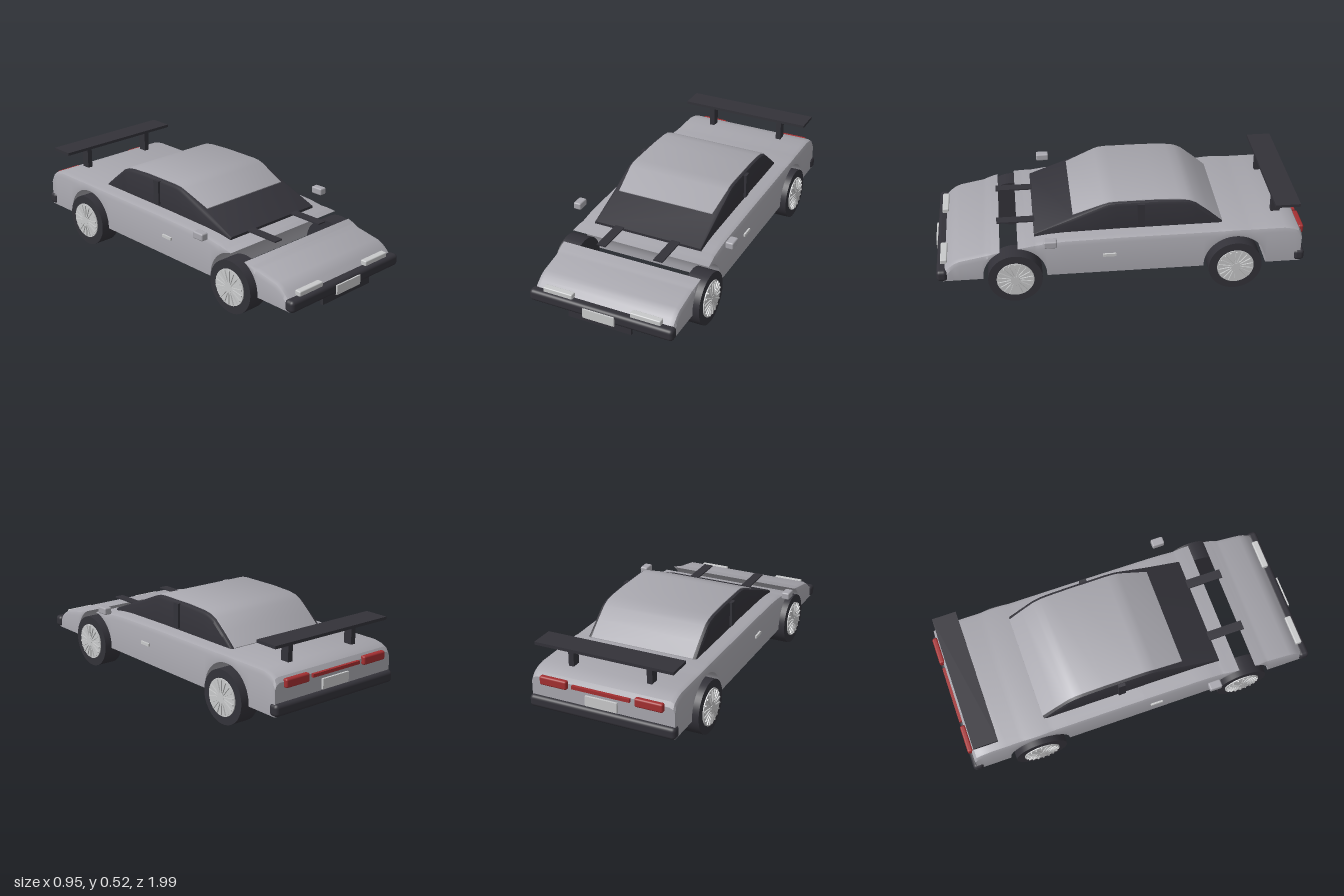
import * as THREE from 'three';
import { toCreasedNormals } from 'three/addons/utils/BufferGeometryUtils.js';
import { RoundedBoxGeometry } from 'three/addons/geometries/RoundedBoxGeometry.js';

const mat = (name, color) => Object.assign(new THREE.MeshStandardMaterial({ color }), { name });

// Height of a profile of [z, y] points (z descending) at z
function heightAt(profile, z) {
  for (let i = 0; i < profile.length - 1; i++) {
    const [z0, y0] = profile[i], [z1, y1] = profile[i + 1];
    if (z <= z0 && z >= z1) return y0 + (y1 - y0) * (z0 - z) / (z0 - z1);
  }
  return z > profile[0][0] ? profile[0][1] : profile[profile.length - 1][1];
}

// Solid from cross-sections { z, top, bottom, w } with rounded upper edges
function loft(sections, round) {
  const pos = [], index = [], n = 8;
  const list = [...sections].sort((a, b) => a.z - b.z);
  for (const { z, top, bottom, w } of list) {
    const c = Math.min(round, (top - bottom) * 0.5);
    const half = [[w, bottom], [w, top - c], [w - c * 0.3, top - c * 0.3], [w - c, top]];
    for (const [x, y] of half) pos.push(x, y, z);
    for (const [x, y] of half.reverse()) pos.push(-x, y, z);
  }
  for (let i = 0; i < list.length - 1; i++) {
    for (let j = 0; j < n; j++) {
      const a = i * n + j, b = i * n + (j + 1) % n;
      index.push(a, b, b + n, a, b + n, a + n);
    }
  }
  const last = (list.length - 1) * n;
  for (let j = 1; j < n - 1; j++) {
    index.push(0, j + 1, j, last, last + j, last + j + 1);
  }
  const g = new THREE.BufferGeometry();
  g.setAttribute('position', new THREE.Float32BufferAttribute(pos, 3));
  g.setIndex(index);
  return toCreasedNormals(g, 0.5);
}

export function createModel() {
  const car = new THREE.Group();
  const paint = mat('silver paint', 0xa8a7ae);
  const dark = mat('dark trim', 0x333239);
  const light = mat('pale metal', 0xc8c9ca);
  const red = mat('red lens', 0xa32f31);

  const add = (name, geometry, material, x = 0, y = 0, z = 0, parent = car) => {
    const m = new THREE.Mesh(geometry, material);
    m.name = name;
    m.position.set(x, y, z);
    parent.add(m);
    return m;
  };
  const box = (name, material, w, h, d, x, y, z) =>
    add(name, new THREE.BoxGeometry(w, h, d), material, x, y, z);
  const rounded = (name, material, w, h, d, r, x, y, z) =>
    add(name, new RoundedBoxGeometry(w, h, d, 3, r), material, x, y, z);

  // Body: nose and main shell, parted by the full-width front wheel arch
  const floor = 0.14, archR = 0.17, archY = 0.15, frontZ = 0.57, rearZ = -0.615;
  const deck = [[0.955, 0.19], [0.94, 0.205], [0.915, 0.23], [0.89, 0.249], [0.86, 0.262], [0.645, 0.303],
    [0.55, 0.319], [0.46, 0.336], [0.38, 0.347], [0.3, 0.352], [0, 0.357], [-0.88, 0.36], [-0.93, 0.35],
    [-0.96, 0.335], [-0.975, 0.31]];
  const bottomAt = z => {
    let y = floor;
    for (const c of [frontZ, rearZ]) {
      const d = archR * archR - (z - c) ** 2;
      if (d > 1e-7) y = Math.max(y, archY + Math.sqrt(d));
    }
    return y;
  };
  const archStations = c => Array.from({ length: 31 }, (_, i) => c + archR * Math.cos(Math.PI * i / 30));
  const stations = [...deck.map(p => p[0]), ...archStations(frontZ), ...archStations(rearZ),
    frontZ + archR + 0.001, frontZ - archR - 0.001, rearZ + archR + 0.001, rearZ - archR - 0.001];
  const shell = (from, to) => loft(stations.filter(z => z <= from && z >= to).map(z => ({
    z, top: Math.max(heightAt(deck, z), bottomAt(z) + 0.001), bottom: bottomAt(z), w: 0.4,
  })), 0.03);
  add('nose', shell(1, 0.644), paint);
  add('mainBody', shell(0.551, -1), paint);

  // Glazed cabin with a painted roof panel
  const roof = [[0.46, 0.35], [0.25, 0.436], [0.09, 0.502], [0.06, 0.511], [0.02, 0.514], [-0.2, 0.514],
    [-0.32, 0.508], [-0.37, 0.5], [-0.41, 0.482], [-0.48, 0.425], [-0.555, 0.358]];
  add('cabin', loft(roof.map(([z, top]) => ({ z, top, bottom: 0.335, w: 0.315 })), 0.02), dark);
  add('roofPanel', loft(roof.slice(1).map(([z, y]) => ({
    z, top: y + 0.004, bottom: y - 0.005, w: z > 0.2 ? 0.28 : 0.296,
  })), 0.003), paint);

  // Bumpers, chin and number plates
  rounded('frontBumper', dark, 0.82, 0.065, 0.058, 0.02, 0, 0.173, 0.957);
  rounded('rearBumper', dark, 0.82, 0.065, 0.058, 0.02, 0, 0.175, -0.968);
  box('chin', dark, 0.36, 0.05, 0.016, 0, 0.135, 0.972);
  box('frontPlate', light, 0.18, 0.052, 0.009, 0, 0.166, 0.99);
  box('rearPlate', light, 0.18, 0.055, 0.014, 0, 0.242, -0.98);

  // Rear wing
  box('wingBlade', dark, 0.77, 0.016, 0.135, 0, 0.484, -0.888);

  // Centre tail strip
  box('tailStrip', red, 0.325, 0.018, 0.018, 0, 0.302, -0.982);

  for (const s of [1, -1]) {
    box('wingPost', dark, 0.03, 0.125, 0.05, s * 0.22, 0.416, -0.86);
    rounded('tailLight', red, 0.155, 0.048, 0.03, 0.01, s * 0.267, 0.303, -0.981);
    rounded('headlight', light, 0.17, 0.032, 0.036, 0.006, s * 0.25, 0.215, 0.947);
    rounded('mirror', paint, 0.045, 0.04, 0.07, 0.008, s * 0.452, 0.38, 0.38);
    box('doorHandle', light, 0.014, 0.016, 0.07, s * 0.403, 0.252, 0.065);
    box('doorPillar', dark, 0.018, 0.135, 0.04, s * 0.319, 0.438, -0.11);
    box('hoodBar', dark, 0.052, 0.007, 0.32, s * 0.165, 0.35, 0.497);

    // Wheels: tyre, rim and spokes
    for (const z of [frontZ, rearZ]) {
      const wheel = new THREE.Group();
      wheel.name = z > 0 ? 'frontWheel' : 'rearWheel';
      wheel.position.set(s * 0.37, 0.145, z);
      if (s < 0) wheel.rotation.y = Math.PI;
      car.add(wheel);
      const disc = (name, r, w, m, x) =>
        add(name, new THREE.CylinderGeometry(r, r, w, 40).rotateZ(Math.PI / 2), m, x, 0, 0, wheel);
      disc('tyre', 0.145, 0.11, dark, 0);
      disc('rim', 0.1, 0.01, light, 0.056);
      disc('hubCap', 0.022, 0.014, light, 0.062);
      for (let i = 0; i < 18; i++) {
        const spoke = new THREE.BoxGeometry(0.008, 0.075, 0.008).translate(0, 0.056, 0);
        add('spoke', spoke, light, 0.064, 0, 0, wheel).rotation.x = i * Math.PI / 9;
      }
    }
  }
  return car;
}
